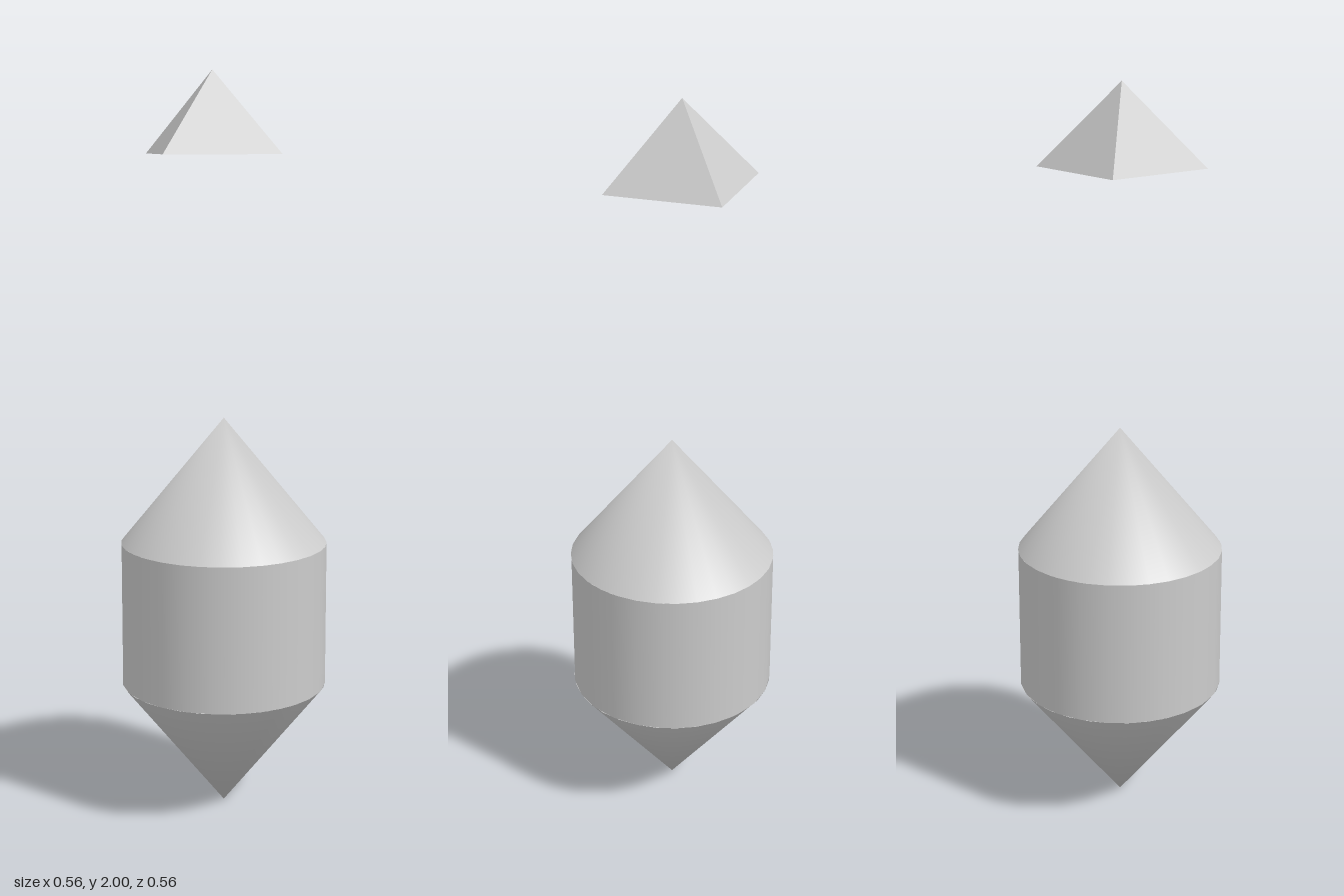
import * as THREE from 'three';
import { mergeVertices } from 'three/addons/utils/BufferGeometryUtils.js';

const RADIUS = 0.28;
const RIM_LOW = 0.35;
const RIM_HIGH = 0.745;
const TIP_HIGH = 1.087;

// Open cone with a shared apex, so shading rounds off towards the tip
function smoothCone(height) {
  const cone = new THREE.ConeGeometry(RADIUS, height, 32, 1, true);
  cone.deleteAttribute('normal');
  cone.deleteAttribute('uv');
  const merged = mergeVertices(cone, 1e-4);
  merged.computeVertexNormals();
  return merged;
}

export function createModel() {
  const model = new THREE.Group();
  const smooth = new THREE.MeshStandardMaterial({ color: 0xcccccc, side: THREE.DoubleSide });
  const flat = new THREE.MeshStandardMaterial({ color: 0xcccccc, flatShading: true });

  function add(name, geometry, material, x, y, z) {
    const mesh = new THREE.Mesh(geometry, material);
    mesh.name = name;
    mesh.position.set(x, y, z);
    model.add(mesh);
    return mesh;
  }

  // Body: a cylinder between two pointed ends
  const bodyHeight = RIM_HIGH - RIM_LOW;
  add('bodyCylinder', new THREE.CylinderGeometry(RADIUS, RADIUS, bodyHeight, 24),
    smooth, 0, RIM_LOW + bodyHeight / 2, 0);

  const topHeight = TIP_HIGH - RIM_HIGH;
  add('topCone', smoothCone(topHeight), smooth, 0, RIM_HIGH + topHeight / 2, 0);

  const bottomCone = add('bottomCone', smoothCone(RIM_LOW), smooth, 0, RIM_LOW / 2, 0);
  bottomCone.rotation.x = Math.PI;

  // Four-sided pyramid floating above, turned a touch
  const pyramid = add('floatingPyramid', new THREE.ConeGeometry(0.218, 0.215, 4),
    flat, -0.008, 2 - 0.215 / 2, -0.031);
  pyramid.rotation.y = 0.016;

  return model;
}
